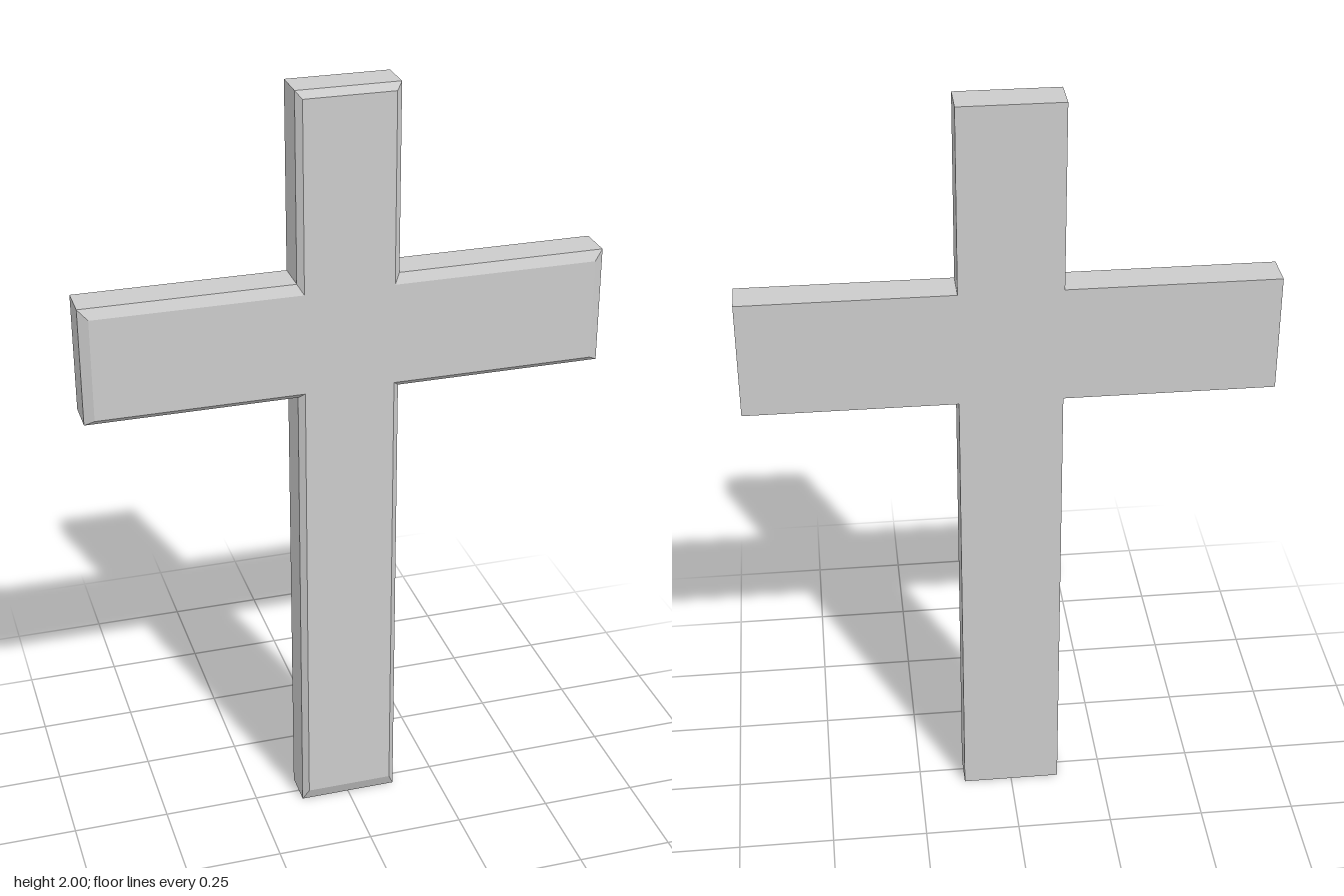
import * as THREE from 'three';

// Cross-shaped outline, anticlockwise seen from the front
function crossOutline({ post, arm, bottom, armLow, armHigh, top }) {
  const [pl, pr] = post, [al, ar] = arm;
  return [
    [pl, bottom], [pr, bottom], [pr, armLow], [ar, armLow], [ar, armHigh], [pr, armHigh],
    [pr, top], [pl, top], [pl, armHigh], [al, armHigh], [al, armLow], [pl, armLow],
  ].map(([x, y]) => new THREE.Vector2(x, y));
}

// Stack outlines along z: walls between neighbours, caps at both ends
function loftOutlines(layers) {
  const positions = [];
  const put = (p, z) => positions.push(p.x, p.y, z);
  for (let k = 0; k < layers.length - 1; k++) {
    const a = layers[k], b = layers[k + 1], n = a.points.length;
    for (let i = 0; i < n; i++) {
      const j = (i + 1) % n;
      put(a.points[i], a.z); put(a.points[j], a.z); put(b.points[j], b.z);
      put(a.points[i], a.z); put(b.points[j], b.z); put(b.points[i], b.z);
    }
  }
  const cap = ({ points, z }, flip) => {
    for (const tri of THREE.ShapeUtils.triangulateShape(points, [])) {
      const order = flip ? [tri[0], tri[2], tri[1]] : tri;
      order.forEach((i) => put(points[i], z));
    }
  };
  cap(layers[0], true);
  cap(layers[layers.length - 1], false);
  const geometry = new THREE.BufferGeometry();
  geometry.setAttribute('position', new THREE.Float32BufferAttribute(positions, 3));
  geometry.computeVertexNormals();
  return geometry;
}

export function createModel() {
  const group = new THREE.Group();
  group.name = 'cross';

  const outer = crossOutline({
    post: [-0.129, 0.129], arm: [-0.66, 0.66], bottom: 0, armLow: 1.222, armHigh: 1.523, top: 2,
  });
  // Front face, drawn in by the bevel
  const inner = crossOutline({
    post: [-0.114, 0.114], arm: [-0.636, 0.636], bottom: 0.034, armLow: 1.236, armHigh: 1.498, top: 1.982,
  });

  const body = new THREE.Mesh(
    loftOutlines([
      { points: outer, z: -0.053 },
      { points: outer, z: 0.039 },
      { points: inner, z: 0.053 },
    ]),
    new THREE.MeshStandardMaterial({ color: 0xcccccc, flatShading: true }),
  );
  body.name = 'bevelledCross';
  group.add(body);
  return group;
}
